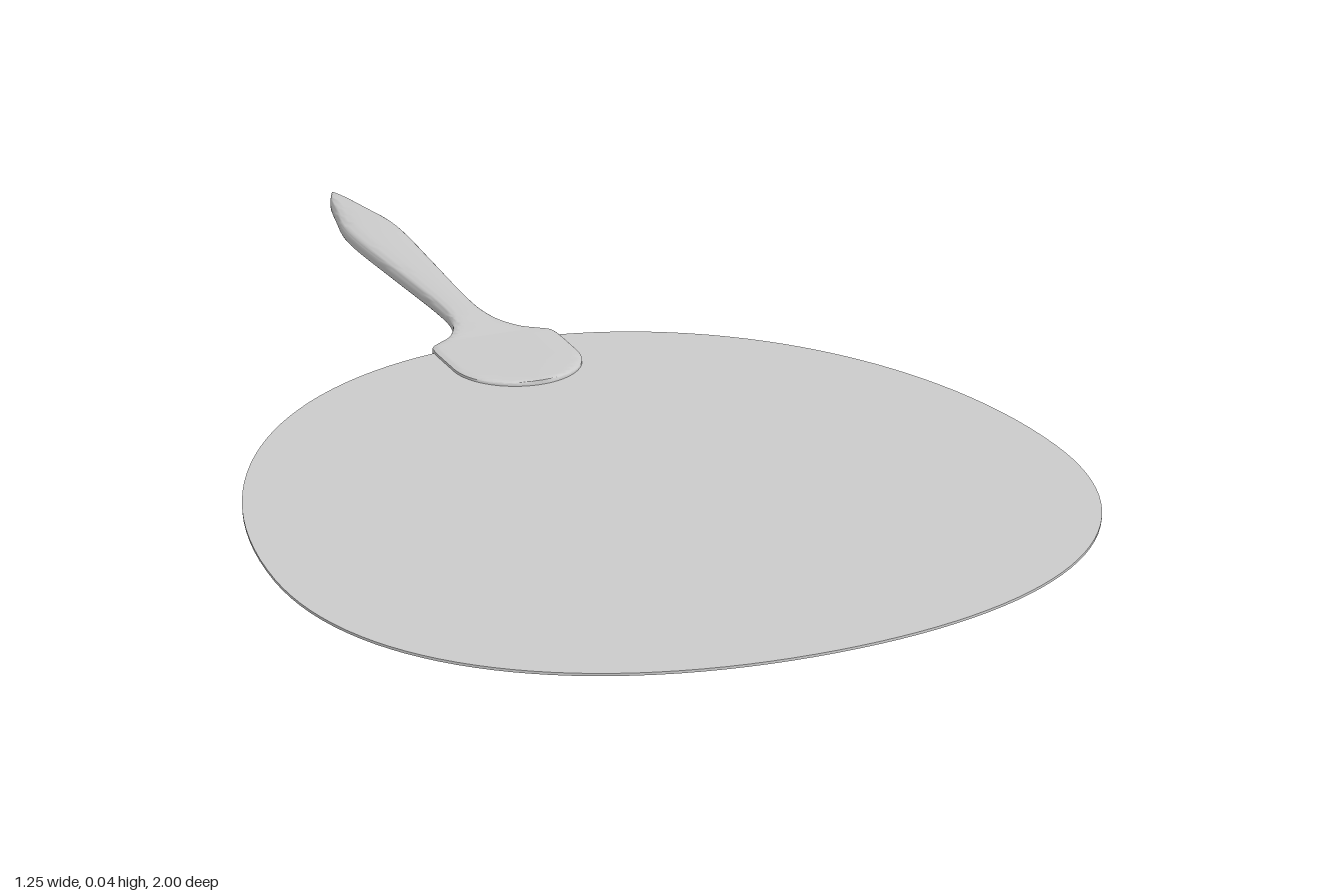
import * as THREE from 'three';
import { toCreasedNormals } from 'three/addons/utils/BufferGeometryUtils.js';

const MID = 0.0185; // height of the fan's middle plane

// Thin egg-shaped leaf, drawn in x/z and laid flat
function makeBlade() {
  const s = new THREE.Shape();
  s.moveTo(0, -0.235);
  s.bezierCurveTo(0.37, -0.235, 0.625, 0.10, 0.625, 0.49);
  s.bezierCurveTo(0.625, 0.82, 0.36, 1, 0, 1);
  s.bezierCurveTo(-0.36, 1, -0.625, 0.82, -0.625, 0.49);
  s.bezierCurveTo(-0.625, 0.10, -0.37, -0.235, 0, -0.235);
  const geo = new THREE.ExtrudeGeometry(s, { depth: 0.004, bevelEnabled: false, curveSegments: 32 });
  geo.rotateX(Math.PI / 2);
  geo.translate(0, MID + 0.002, 0);
  return toCreasedNormals(geo, 0.6);
}

// Loft of rounded-box sections; each section is { w: half width, h: half height, z, e: roundness }
function loft(sections, sides) {
  const pos = [], index = [];
  const power = (v, e) => Math.sign(v) * Math.abs(v) ** e;
  for (const { w, h, z, e } of sections) {
    for (let i = 0; i < sides; i++) {
      const a = (i / sides) * Math.PI * 2;
      pos.push(w * power(Math.cos(a), e), MID + h * power(Math.sin(a), e), z);
    }
  }
  for (let j = 0; j < sections.length - 1; j++) {
    for (let i = 0; i < sides; i++) {
      const a = j * sides + i, b = j * sides + ((i + 1) % sides);
      index.push(a, b, a + sides, b, b + sides, a + sides);
    }
  }
  // Flat caps on both narrow ends
  const last = (sections.length - 1) * sides;
  for (let i = 1; i < sides - 1; i++) {
    index.push(0, i + 1, i, last, last + i, last + i + 1);
  }
  const geo = new THREE.BufferGeometry();
  geo.setAttribute('position', new THREE.Float32BufferAttribute(pos, 3));
  geo.setIndex(index);
  return toCreasedNormals(geo, 0.7);
}

// Grip that swells, narrows to a neck and flares into the rounded clasp
function makeHandle() {
  const outline = [ // half width, half height, z
    [0.003, 0.0135, -1], [0.014, 0.0145, -0.975], [0.031, 0.0165, -0.9],
    [0.045, 0.018, -0.825], [0.047, 0.0185, -0.76], [0.039, 0.0175, -0.6],
    [0.030, 0.0155, -0.42], [0.032, 0.014, -0.35], [0.043, 0.012, -0.305],
    [0.066, 0.0105, -0.268], [0.092, 0.0095, -0.25], [0.104, 0.0095, -0.24],
    [0.107, 0.0095, -0.225], [0.107, 0.0095, -0.142],
  ].map((p) => new THREE.Vector3(...p));
  const sections = new THREE.CatmullRomCurve3(outline).getPoints(78).map((p) => ({
    w: p.x, h: p.y, z: p.z,
    e: THREE.MathUtils.lerp(0.65, 0.3, THREE.MathUtils.smoothstep(p.z, -0.4, -0.24)),
  }));
  // Half-round end of the clasp
  for (let i = 1; i <= 20; i++) {
    const a = (i / 20) * Math.PI / 2;
    sections.push({ w: Math.max(0.107 * Math.cos(a), 0.003), h: 0.0095, z: -0.142 + 0.107 * Math.sin(a), e: 0.3 });
  }
  return loft(sections, 32);
}

export function createModel() {
  const group = new THREE.Group();
  group.name = 'handFan';
  const material = new THREE.MeshStandardMaterial({ color: 0xcccccc });
  const parts = { blade: makeBlade(), handle: makeHandle() };
  for (const [name, geometry] of Object.entries(parts)) {
    const mesh = new THREE.Mesh(geometry, material);
    mesh.name = name;
    group.add(mesh);
  }
  return group;
}
